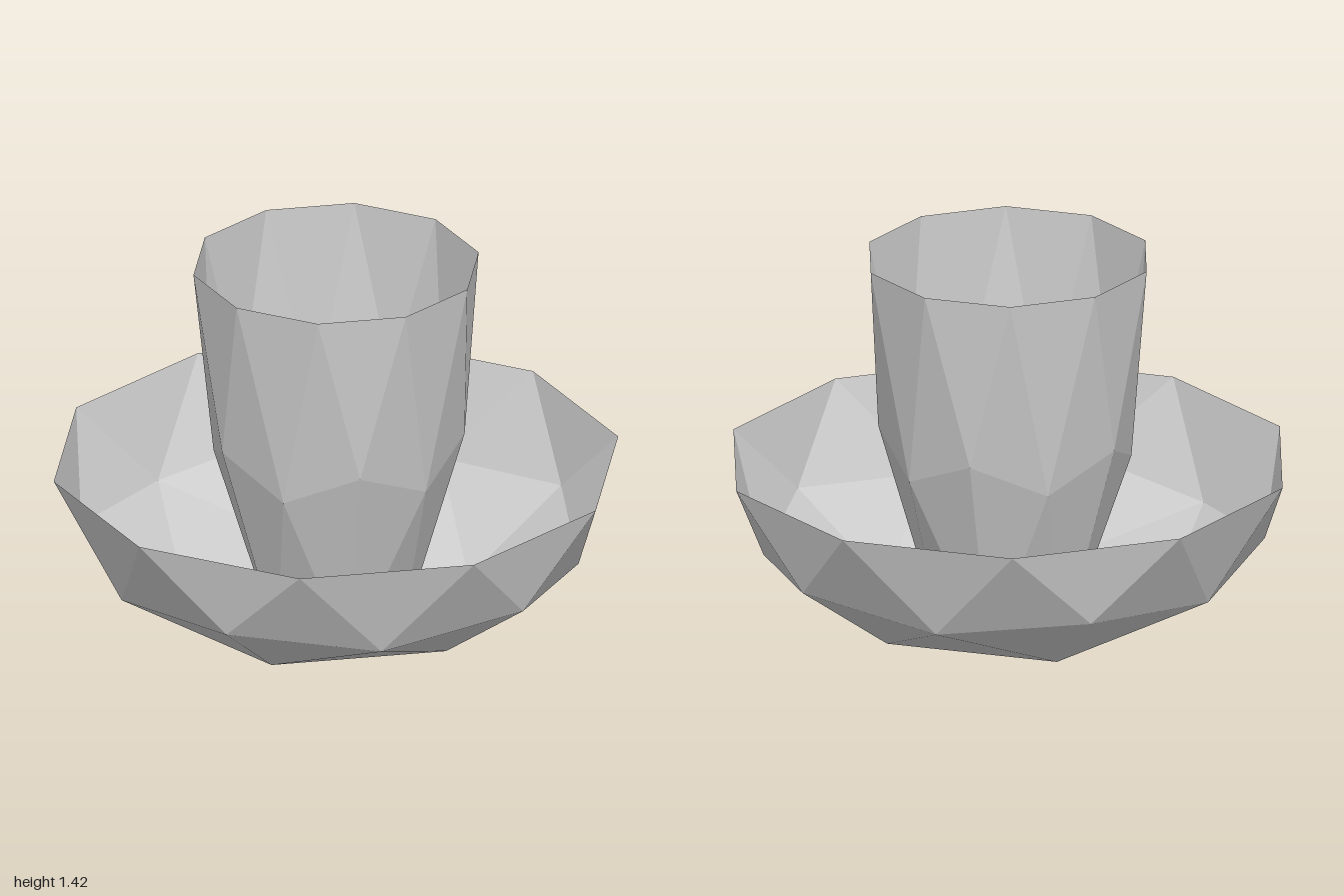
import * as THREE from 'three';

const material = new THREE.MeshStandardMaterial({
  color: 0xcccccc, flatShading: true, side: THREE.DoubleSide,
});

// Points on a level ring; radii are used in turn and heights likewise.
function ring(count, phase, radii, heights) {
  return Array.from({ length: count }, (_, i) => {
    const t = phase + (i * 2 * Math.PI) / count;
    const r = radii[i % radii.length];
    return new THREE.Vector3(r * Math.cos(t), heights[i % heights.length], r * Math.sin(t));
  });
}

// Lower half of a faceted sphere, stretched in height. The foot is a five-sided
// ring, closed by a pole point if poleY is given and left open otherwise.
function facetedShell(name, { radius, phase, rimY, midYs, footRadius, footY, poleY }) {
  const rim = ring(10, phase + Math.PI / 10, [radius], [rimY]);
  const mid = ring(10, phase, [0.894 * radius, 0.851 * radius], midYs);
  const foot = ring(5, phase, [footRadius], [footY]);
  const points = [];

  // Upper band of alternating triangles
  for (let i = 0; i < 10; i++) {
    const j = (i + 1) % 10;
    points.push(mid[j], mid[i], rim[i], mid[j], rim[i], rim[j]);
  }
  // Lower band, narrowing from ten sides to five
  for (let k = 0; k < 5; k++) {
    const a = mid[2 * k], b = mid[2 * k + 1], a2 = mid[(2 * k + 2) % 10];
    const c = foot[k], c2 = foot[(k + 1) % 5];
    points.push(c, a, b, c2, b, a2, c2, c, b);
    if (poleY !== undefined) points.push(new THREE.Vector3(0, poleY, 0), c, c2);
  }

  const geometry = new THREE.BufferGeometry().setFromPoints(points);
  geometry.computeVertexNormals();
  const mesh = new THREE.Mesh(geometry, material);
  mesh.name = name;
  return mesh;
}

export function createModel() {
  const group = new THREE.Group();
  group.name = 'cupInBowl';

  // Wide shallow bowl with a closed bottom
  group.add(facetedShell('bowl', {
    radius: 1, phase: Math.PI, rimY: 0.67, midYs: [0.37, 0.318],
    footRadius: 0.526, footY: 0.1, poleY: 0,
  }));

  // Tall cup, open at both ends, its foot poking just through the bowl
  group.add(facetedShell('cup', {
    radius: 0.505, phase: 0, rimY: 1.42, midYs: [0.795, 0.68],
    footRadius: 0.232, footY: 0.025,
  }));

  return group;
}
